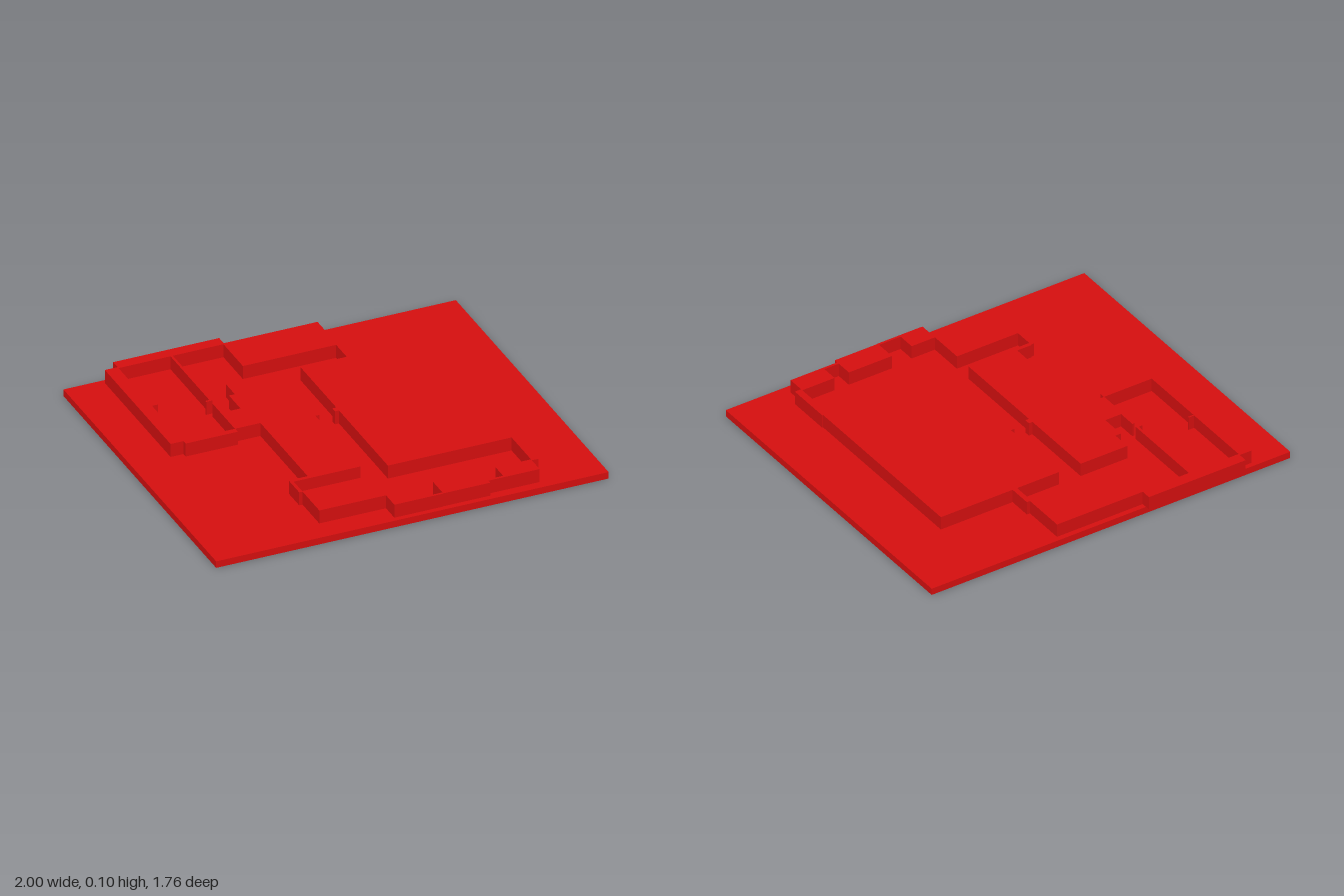
import * as THREE from 'three';

const BASE = 0.035, TOP = 0.105;

export function createModel() {
  const model = new THREE.Group();
  const red = new THREE.MeshStandardMaterial({ color: 0xd40f0f, flatShading: true });

  // Upright block given by its plan limits
  const block = (name, x0, x1, z0, z1, y0 = BASE, y1 = TOP) => {
    const mesh = new THREE.Mesh(new THREE.BoxGeometry(x1 - x0, y1 - y0, z1 - z0), red);
    mesh.position.set((x0 + x1) / 2, (y0 + y1) / 2, (z0 + z1) / 2);
    mesh.name = name;
    model.add(mesh);
  };

  // Raised outline with right-angled steps; points are [x, z]
  const raised = (name, points) => {
    const shape = new THREE.Shape(points.map(([x, z]) => new THREE.Vector2(x, -z)));
    const geo = new THREE.ExtrudeGeometry(shape, { depth: TOP - BASE, bevelEnabled: false });
    geo.rotateX(-Math.PI / 2).translate(0, BASE, 0);
    const mesh = new THREE.Mesh(geo, red);
    mesh.name = name;
    model.add(mesh);
  };

  block('groundSlab', -1, 1, -0.855, 0.876, 0, BASE);

  // Large hall with its corner wall and a door stub
  raised('hall', [
    [0.04, -0.48], [0.7, -0.48], [0.7, 0.51], [0.705, 0.51], [0.705, 0.74], [0.67, 0.74],
    [0.67, 0.51], [0.04, 0.51], [0.04, -0.045], [0.02, -0.045], [0.02, -0.075], [0.04, -0.075],
  ]);

  // Central wing with stepped west side and a door stub
  raised('centralWing', [
    [-0.34, -0.48], [-0.08, -0.48], [-0.08, -0.075], [-0.06, -0.075], [-0.06, -0.045],
    [-0.08, -0.045], [-0.08, 0.465], [-0.42, 0.465], [-0.42, 0.445], [-0.34, 0.445],
    [-0.34, -0.09], [-0.465, -0.09], [-0.465, -0.25], [-0.37, -0.25], [-0.37, -0.38], [-0.34, -0.38],
  ]);

  // Front rooms and the thin walls linking them
  block('frontRoom', -0.42, -0.08, 0.56, 0.755);
  block('frontRoomSideWall', -0.437, -0.42, 0.45, 0.565);
  block('frontWallLeft', -0.08, 0.05, 0.745, 0.85);
  block('frontWindowLeft', 0.05, 0.17, 0.838, 0.85);
  block('frontWallMiddle', 0.17, 0.41, 0.73, 0.848);
  block('frontWindowRight', 0.41, 0.49, 0.815, 0.828);
  block('frontWallRight', 0.49, 0.67, 0.73, 0.828);

  // Back rooms
  block('sideWall', -0.8, -0.735, -0.83, -0.085);
  block('backWall', -0.735, -0.195, -0.88, -0.82);
  block('roomFrontWall', -0.735, -0.468, -0.09, -0.06);
  block('partitionBack', -0.47, -0.458, -0.82, -0.37);
  block('partitionFront', -0.47, -0.458, -0.345, -0.09);
  block('partitionStub', -0.49, -0.47, -0.38, -0.37);
  block('sideWallStub', -0.735, -0.705, -0.447, -0.44);
  block('backRoom', -0.2, 0.283, -0.828, -0.6);
  block('backRoomLinkWall', 0.275, 0.3, -0.6, -0.48);

  return model;
}
